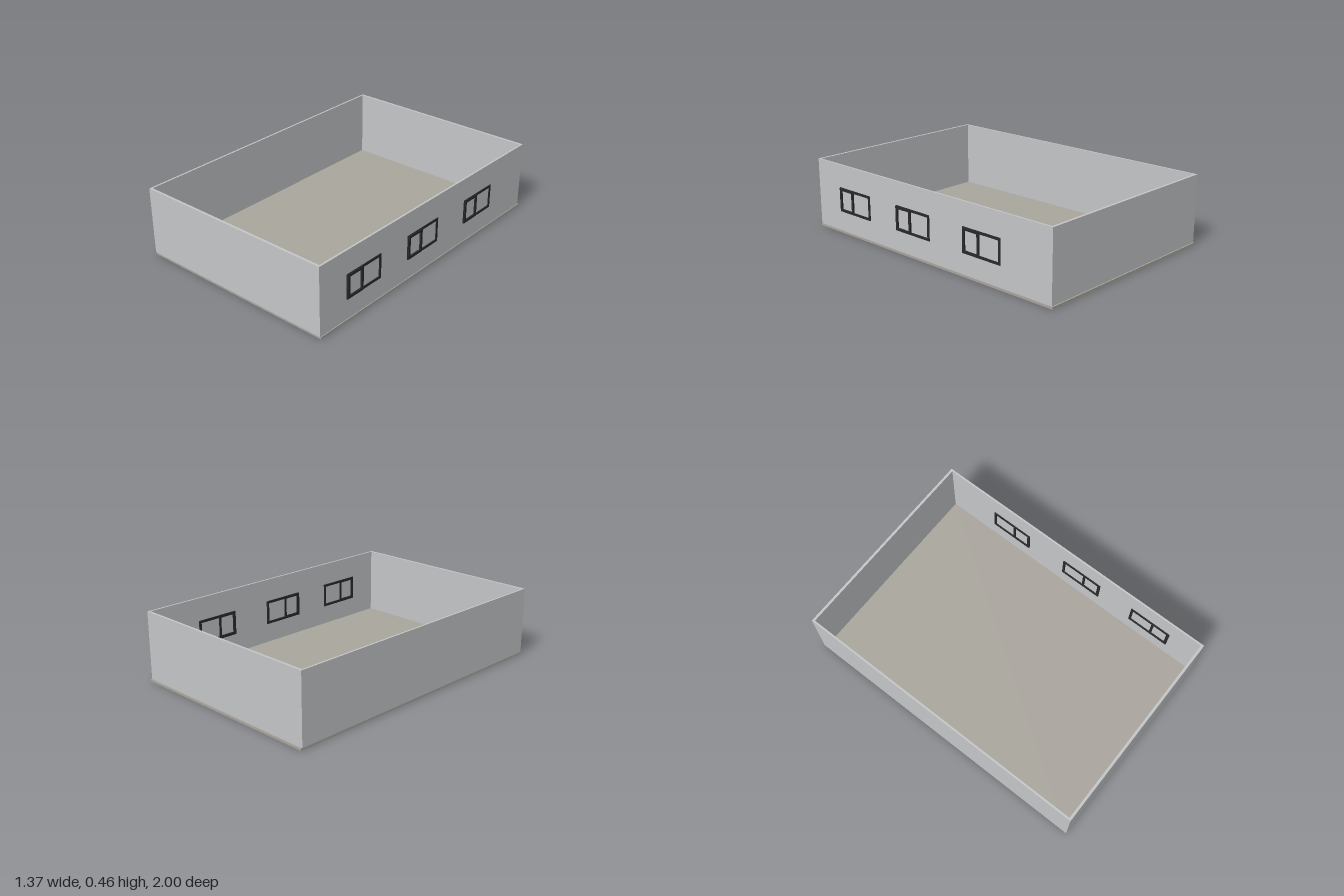
import * as THREE from 'three';

const wallMat = new THREE.MeshStandardMaterial({ name: 'wallGrey', color: 0xc4c6c8 });
const floorMat = new THREE.MeshStandardMaterial({ name: 'floorTaupe', color: 0xaaa69e });
const frameMat = new THREE.MeshStandardMaterial({ name: 'frameBlack', color: 0x2a2a2c });

// Box given by its min and max corners
function box(name, mat, [x0, y0, z0], [x1, y1, z1]) {
  const mesh = new THREE.Mesh(new THREE.BoxGeometry(x1 - x0, y1 - y0, z1 - z0), mat);
  mesh.position.set((x0 + x1) / 2, (y0 + y1) / 2, (z0 + z1) / 2);
  mesh.name = name;
  return mesh;
}

// Rectangular frame with an open middle, lying in the YZ plane
function frame(name, x0, x1, y0, y1, z0, z1, bar) {
  const shape = new THREE.Shape([[z0, y0], [z1, y0], [z1, y1], [z0, y1]].map(p => new THREE.Vector2(...p)));
  shape.holes.push(new THREE.Path([[z0 + bar, y0 + bar], [z0 + bar, y1 - bar], [z1 - bar, y1 - bar], [z1 - bar, y0 + bar]]
    .map(p => new THREE.Vector2(...p))));
  const geo = new THREE.ExtrudeGeometry(shape, { depth: x1 - x0, bevelEnabled: false });
  // shape x becomes z, extrusion runs towards -x
  geo.rotateY(-Math.PI / 2);
  geo.translate(x1, 0, 0);
  const mesh = new THREE.Mesh(geo, frameMat);
  mesh.name = name;
  return mesh;
}

export function createModel() {
  const model = new THREE.Group();
  model.name = 'openRoom';

  // Floor slab, projecting slightly past the window wall and the back wall
  const base = 0.014, top = 0.455;
  model.add(box('floorSlab', floorMat, [-0.681, 0, -1], [0.679, base, 0.998]));

  // Four walls, open at the top
  const L = -0.684, R = 0.674, B = -0.992, F = 1, t = 0.012;
  model.add(
    box('frontWall', wallMat, [L, base, F - 0.016], [R, top, F]),
    box('backWall', wallMat, [L, base, B], [R, top, B + 0.016]),
    box('plainSideWall', wallMat, [L, base, B + 0.016], [L + t, top, F - 0.016]),
    box('windowWall', wallMat, [R - t, base, B + 0.016], [R, top, F - 0.016]),
  );

  // Three sliding windows, each with a fixed frame and a sash in front
  for (const z of [0.635, 0.095, -0.475]) {
    const win = new THREE.Group();
    win.name = 'window';
    win.add(
      frame('windowFrame', 0.655, 0.679, 0.145, 0.305, z - 0.147, z + 0.147, 0.016),
      frame('slidingSash', 0.657, 0.684, 0.148, 0.302, z + 0.013, z + 0.143, 0.016),
    );
    model.add(win);
  }
  return model;
}
